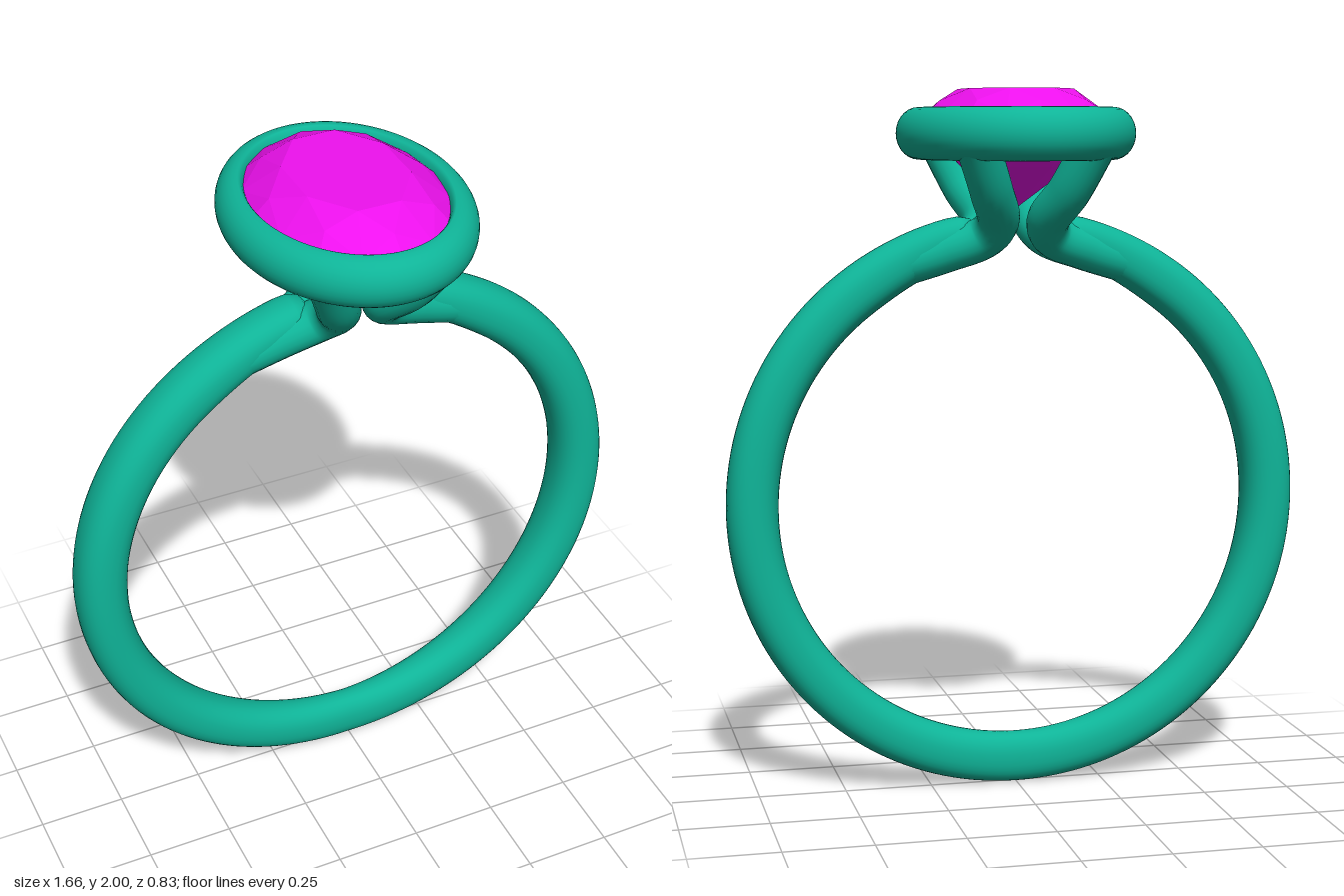
import * as THREE from 'three';
import { ConvexGeometry } from 'three/addons/geometries/ConvexGeometry.js';

const metal = new THREE.MeshStandardMaterial({ color: 0x0fb498 });
const stone = new THREE.MeshStandardMaterial({ color: 0xee11ee });

// Skins a row of equally sized closed rings of points; vertices are shared so it shades smoothly
function loft(rings, closed) {
  const n = rings[0].length, rows = rings.length, index = [];
  for (let i = 0; i < (closed ? rows : rows - 1); i++) {
    for (let j = 0; j < n; j++) {
      const a = i * n + j, b = i * n + (j + 1) % n;
      const k = (i + 1) % rows;
      const c = k * n + j, d = k * n + (j + 1) % n;
      index.push(a, b, c, b, d, c);
    }
  }
  const g = new THREE.BufferGeometry();
  g.setAttribute('position', new THREE.Float32BufferAttribute(rings.flat(2), 3));
  g.setIndex(index);
  g.computeVertexNormals();
  return g;
}

function mesh(name, geometry, material) {
  const m = new THREE.Mesh(geometry, material);
  m.name = name;
  return m;
}

// Band: narrow at the bottom, widest at the sides, rounded off where it splits at the top
function bandGeometry() {
  const rings = [], steps = 160, sides = 32;
  const end = Math.PI - 0.13, capLength = 0.1;
  const power = (v) => Math.sign(v) * Math.abs(v) ** 0.88;
  for (let i = 0; i <= steps; i++) {
    const phi = -end + (2 * end * i) / steps;
    const p = Math.abs(phi), s = Math.sin(p);
    const cap = Math.max(0, (p - end + capLength) / capLength);
    const taper = Math.sqrt(Math.max(0.0001, 1 - cap * cap));
    const top = THREE.MathUtils.smoothstep(p, 2.5, Math.PI);
    const halfZ = (p < Math.PI / 2 ? 0.05 + 0.032 * s : 0.065 + 0.017 * s) * taper;
    const halfR = (0.073 - 0.015 * top) * taper;
    const ring = [];
    for (let j = 0; j < sides; j++) {
      const t = (j / sides) * Math.PI * 2;
      const r = 0.757 + halfR * power(Math.cos(t));
      ring.push([r * Math.sin(phi), 0.83 - r * Math.cos(phi) + 0.02 * top, -halfZ * power(Math.sin(t))]);
    }
    rings.push(ring);
  }
  return loft(rings, false);
}

// Bezel: oval rim, full and round outside, flatter on the inside
function bezelGeometry() {
  const rings = [], steps = 128, sides = 28;
  for (let i = 0; i < steps; i++) {
    const t = (i / steps) * Math.PI * 2, ring = [];
    for (let j = 0; j < sides; j++) {
      const u = (j / sides) * Math.PI * 2, c = Math.cos(u);
      const out = c > 0 ? 0.063 * c : 0.022 * c;
      ring.push([(0.27 + out) * Math.cos(t), 1.876 + 0.073 * Math.sin(u), (0.35 + out) * Math.sin(t)]);
    }
    rings.push(ring);
  }
  return loft(rings, true);
}

// Gem: faceted oval made from rings of corners
function gemGeometry() {
  const points = [new THREE.Vector3(0, 1.665, 0)];
  const levels = [ // half width, half length, height, corners, turn
    [0.16, 0.22, 2.0, 8, 0.5],
    [0.218, 0.29, 1.966, 8, 0],
    [0.262, 0.342, 1.925, 16, 0],
    [0.262, 0.342, 1.905, 16, 0],
    [0.155, 0.205, 1.785, 8, 0.5],
  ];
  for (const [a, b, y, n, turn] of levels) {
    for (let i = 0; i < n; i++) {
      const t = ((i + turn) / n) * Math.PI * 2;
      points.push(new THREE.Vector3(a * Math.cos(t), y, b * Math.sin(t)));
    }
  }
  return new ConvexGeometry(points);
}

// Prong: leaves the band, turns upward and spreads out to the bezel
function prongGeometry(sx, sz) {
  const path = [
    [0.33, 1.51, 0.01], [0.2, 1.55, 0.022], [0.1, 1.588, 0.045],
    [0.072, 1.635, 0.095], [0.11, 1.72, 0.185], [0.165, 1.85, 0.255],
  ].map(([x, y, z]) => new THREE.Vector3(sx * x, y, sz * z));
  return new THREE.TubeGeometry(new THREE.CatmullRomCurve3(path), 48, 0.06, 20, false);
}

export function createModel() {
  const group = new THREE.Group();
  group.name = 'ring';
  group.add(mesh('band', bandGeometry(), metal));
  group.add(mesh('bezel', bezelGeometry(), metal));
  group.add(mesh('gem', gemGeometry(), stone));

  const prongs = new THREE.Group();
  prongs.name = 'prongs';
  for (const sx of [1, -1]) {
    for (const sz of [1, -1]) {
      const name = (sz > 0 ? 'front' : 'back') + (sx > 0 ? 'Left' : 'Right') + 'Prong';
      prongs.add(mesh(name, prongGeometry(sx, sz), metal));
    }
  }
  group.add(prongs);
  return group;
}
